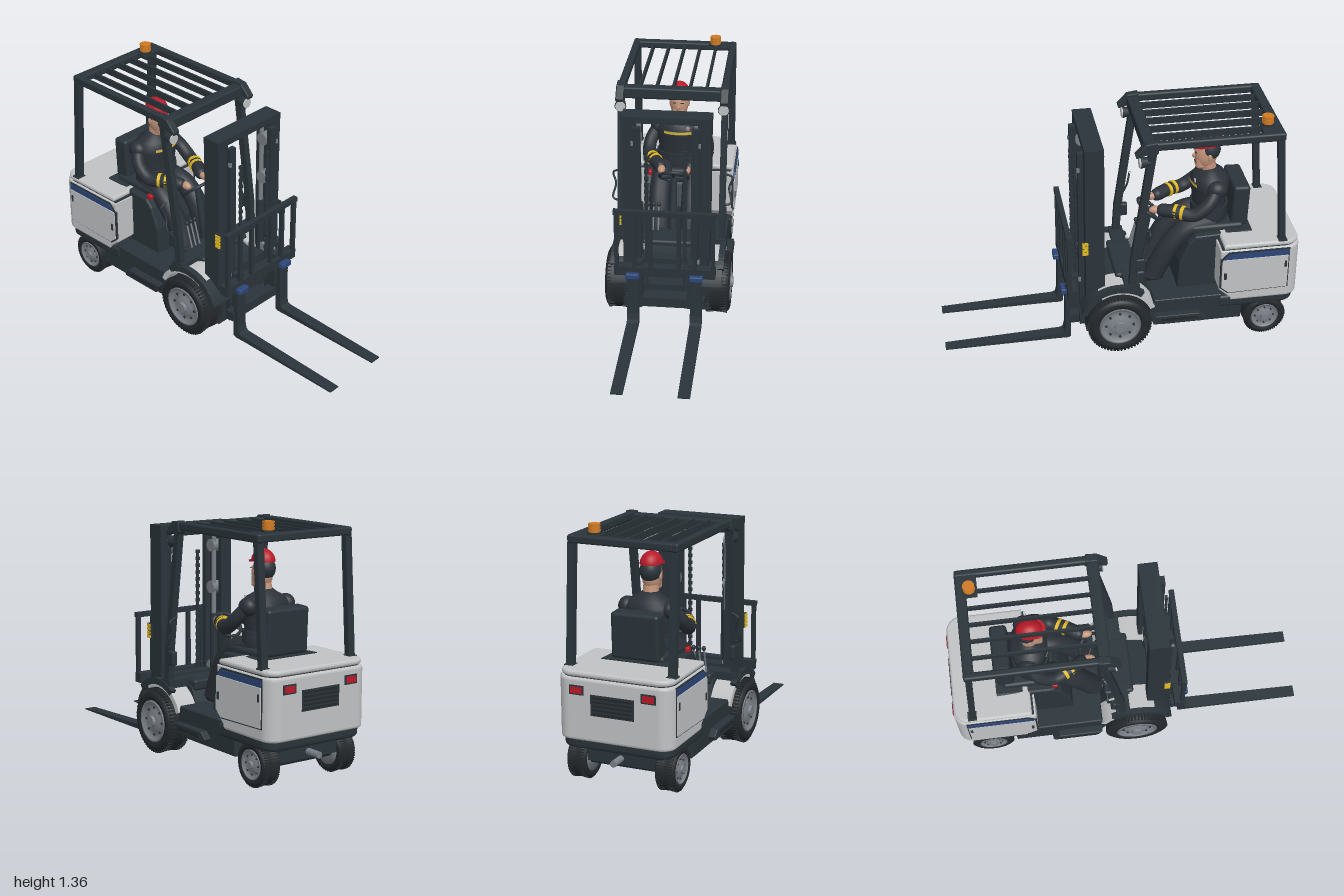
import * as THREE from 'three';
import { RoundedBoxGeometry } from 'three/addons/geometries/RoundedBoxGeometry.js';

const material = (name, color) => Object.assign(new THREE.MeshStandardMaterial({ color }), { name });
const dark = material('charcoal frame', 0x2a343a), light = material('light grey paint', 0xc0c2c4);
const rubber = material('tyre rubber', 0x23282c), steel = material('steel grey', 0x7a8087);
const blue = material('blue trim', 0x2c4578), red = material('red', 0xb81a28);
const orange = material('orange beacon', 0xd07a22), yellow = material('warning yellow', 0xdfb821);
const skin = material('skin', 0xc2937a), cloth = material('overalls', 0x2b3138);

export function createModel() {
  const root = new THREE.Group();
  root.name = 'forkliftWithDriver';
  const V = (p) => new THREE.Vector3(...p);
  const add = (name, geo, mat, pos = [0, 0, 0], parent = root) => {
    const m = new THREE.Mesh(geo, mat);
    m.name = name;
    m.position.set(...pos);
    parent.add(m);
    return m;
  };
  // Box given by its limits, optionally rounded
  const box = (name, mat, x0, x1, y0, y1, z0, z1, r = 0) => {
    const d = [x1 - x0, y1 - y0, z1 - z0];
    const geo = r ? new RoundedBoxGeometry(...d, 3, r) : new THREE.BoxGeometry(...d);
    return add(name, geo, mat, [(x0 + x1) / 2, (y0 + y1) / 2, (z0 + z1) / 2]);
  };
  const extrude = (shape, thickness, bevel) => new THREE.ExtrudeGeometry(shape, {
    depth: thickness - 2 * bevel, bevelEnabled: bevel > 0, bevelSize: bevel, bevelThickness: bevel,
    bevelOffset: -bevel, bevelSegments: 3, curveSegments: 12,
  });
  // Side profile extruded across the vehicle
  const profile = (name, mat, pts, z0, z1, bevel = 0) =>
    add(name, extrude(new THREE.Shape(pts.map((p) => new THREE.Vector2(...p))), z1 - z0, bevel), mat, [0, 0, z0 + bevel]);
  // Slab with rounded rear corners in plan
  const rearSlab = (name, mat, x0, x1, y0, y1, hz, r, bevel) => {
    const s = new THREE.Shape();
    s.moveTo(x1, -hz).lineTo(x1, hz).lineTo(x0 + r, hz);
    s.absarc(x0 + r, hz - r, r, Math.PI / 2, Math.PI).absarc(x0 + r, r - hz, r, Math.PI, Math.PI * 1.5);
    return add(name, extrude(s, y1 - y0, bevel).rotateX(Math.PI / 2), mat, [0, y1 - bevel, 0]);
  };
  // Round or square rod between two points
  const rod = (name, mat, a, b, r, r2 = r, square = false) => {
    const d = V(b).sub(V(a)), len = d.length();
    const geo = square ? new THREE.BoxGeometry(r, len, r2) : new THREE.CylinderGeometry(r2, r, len, 16);
    const m = add(name, geo, mat, V(a).add(V(b)).multiplyScalar(0.5).toArray());
    m.quaternion.setFromUnitVectors(new THREE.Vector3(0, 1, 0), d.normalize());
    return m;
  };
  const tube = (name, mat, pts, r) =>
    add(name, new THREE.TubeGeometry(new THREE.CatmullRomCurve3(pts.map(V)), 24, r, 12), mat);
  const ball = (name, mat, pos, sx, sy, sz, ...arc) => {
    const m = add(name, new THREE.SphereGeometry(1, 24, 16, ...arc), mat, pos);
    m.scale.set(sx, sy, sz);
    return m;
  };
  const arch = (r0, r1, a0, a1) => {
    const pts = [], n = 14;
    for (let i = 0; i <= 2 * n + 1; i++) {
      const t = i <= n ? i / n : (2 * n + 1 - i) / n, r = i <= n ? r1 : r0, a = a0 + (a1 - a0) * t;
      pts.push([0.03 + r * Math.cos(a), 0.18 + r * Math.sin(a)]);
    }
    return pts;
  };

  // Wheel with fine tread, dished rim, hub and bolts
  const wheel = (name, x, R, z, w, side) => {
    const g = new THREE.Group();
    g.name = name;
    g.position.set(x, R, z * side);
    g.rotation.x = side * Math.PI / 2;
    root.add(g);
    const lathe = (pts) => new THREE.LatheGeometry(pts.map((p) => new THREE.Vector2(...p)), 40);
    const h = w / 2, k = R * 0.65;
    const half = [[R - 0.005, 0.35], [R * 0.96, 0.68], [R * 0.91, 0.9], [R * 0.82, 1], [R * 0.74, 0.98], [k, 0.9]];
    add('tyre', lathe([...half.map(([r, t]) => [r, -t * h]).reverse(), ...half.map(([r, t]) => [r, t * h])]), rubber, [0, 0, 0], g);
    add('rim', lathe([[0, -h * 0.7], [k, -h * 0.9], [k, h * 0.95], [k * 0.9, h * 0.98], [k * 0.82, h * 0.72],
      [k * 0.5, h * 0.75], [k * 0.42, h * 0.95], [0, h * 0.95]]), steel, [0, 0, 0], g);
    add('hub', new THREE.CylinderGeometry(k * 0.26, k * 0.3, h * 0.35, 16), steel, [0, h * 0.98, 0], g);
    for (let i = 0; i < 8; i++) {
      const a = i * Math.PI / 4;
      add('bolt', new THREE.CylinderGeometry(R * 0.04, R * 0.04, 0.012, 8), dark,
        [Math.cos(a) * k * 0.66, h * 0.75, Math.sin(a) * k * 0.66], g);
    }
    for (let i = 0; i < 112; i++) {
      const a = i * Math.PI / 56, s = i % 2 ? 1 : -1;
      const t = add('tread', new THREE.BoxGeometry(0.014, h * 0.75, R * 0.06), rubber,
        [Math.cos(a) * (R - 0.01), s * h * 0.42, Math.sin(a) * (R - 0.01)], g);
      t.rotation.set(0, -a, -s * 0.12);
    }
  };

  // Chassis, sill and rear counterweight
  profile('chassis', dark, [[-0.9, 0.13], [0.12, 0.13], [0.12, 0.36], [-0.03, 0.41], [-0.12, 0.38],
    [-0.16, 0.3], [-0.9, 0.3]], -0.19, 0.19);
  profile('sill', dark, [[-0.67, 0.13], [-0.17, 0.13], [-0.14, 0.2], [-0.17, 0.3], [-0.55, 0.3], [-0.67, 0.23]], -0.3, 0.3, 0.008);
  rearSlab('rearSkirt', dark, -0.975, -0.54, 0.215, 0.29, 0.31, 0.08, 0.02);
  rearSlab('counterweight', light, -0.99, -0.6, 0.265, 0.598, 0.32, 0.075, 0.015);
  profile('bodyShell', light, [[-0.9, 0.28], [-0.6, 0.28], [-0.535, 0.34], [-0.535, 0.598], [-0.9, 0.598]], -0.318, 0.318, 0.01);
  rearSlab('hoodGap', dark, -0.975, -0.545, 0.59, 0.604, 0.308, 0.075, 0);
  rearSlab('hood', light, -0.985, -0.555, 0.601, 0.632, 0.316, 0.08, 0.014);
  profile('seatPedestal', dark, [[-0.56, 0.29], [-0.32, 0.29], [-0.33, 0.46], [-0.38, 0.58], [-0.42, 0.625],
    [-0.74, 0.638], [-0.74, 0.6], [-0.56, 0.58]], -0.19, 0.19, 0.012);
  box('grille', dark, -0.996, -0.985, 0.41, 0.52, -0.12, 0.12);
  for (let i = 0; i < 5; i++) box('grilleSlat', rubber, -1, -0.994, 0.417 + i * 0.021, 0.427 + i * 0.021, -0.11, 0.11);
  rod('towHitch', steel, [-0.99, 0.165, 0], [-0.9, 0.165, 0], 0.018);
  rod('frontAxle', dark, [0.03, 0.18, -0.25], [0.03, 0.18, 0.25], 0.05);
  rod('rearAxle', dark, [-0.81, 0.122, -0.23], [-0.81, 0.122, 0.23], 0.035);

  for (const s of [1, -1]) {
    // Mirrored box and profile: z limits measured outward from the centre line
    const sbox = (name, mat, x0, x1, y0, y1, z0, z1, r) =>
      box(name, mat, x0, x1, y0, y1, Math.min(s * z0, s * z1), Math.max(s * z0, s * z1), r);
    const sprofile = (name, mat, pts, z0, z1, b) =>
      profile(name, mat, pts, Math.min(s * z0, s * z1), Math.max(s * z0, s * z1), b);

    wheel('frontWheel', 0.03, 0.18, 0.278, 0.15, s);
    wheel('rearWheel', -0.81, 0.122, 0.25, 0.11, s);
    // Body side panels, lamps and steps
    sprofile('panelFrame', dark, [[-0.925, 0.33], [-0.58, 0.32], [-0.535, 0.36], [-0.535, 0.545], [-0.58, 0.59], [-0.925, 0.59]], 0.31, 0.323);
    sprofile('sidePanel', light, [[-0.918, 0.337], [-0.585, 0.328], [-0.543, 0.364], [-0.543, 0.53], [-0.548, 0.544], [-0.918, 0.544]], 0.315, 0.329);
    sprofile('blueStripe', blue, [[-0.92, 0.547], [-0.552, 0.547], [-0.582, 0.58], [-0.92, 0.58]], 0.315, 0.328);
    sbox('panelLatch', dark, -0.57, -0.555, 0.42, 0.46, 0.325, 0.333);
    sbox('panelHinge', dark, -0.91, -0.898, 0.47, 0.51, 0.325, 0.333);
    sbox('tailLampFrame', dark, -0.994, -0.985, 0.51, 0.56, 0.16, 0.24);
    sbox('tailLamp', red, -0.998, -0.99, 0.518, 0.552, 0.168, 0.232);
    sprofile('step', dark, [[-0.45, 0.16], [-0.2, 0.16], [-0.17, 0.215], [-0.42, 0.215], [-0.46, 0.18]], 0.28, 0.34, 0.006);
    sprofile('stepTread', rubber, [[-0.42, 0.18], [-0.21, 0.18], [-0.2, 0.2], [-0.4, 0.2]], 0.335, 0.343);
    // Front mudguards
    sprofile('mudguard', light, arch(0.19, 0.22, 1.05, 2.75), 0.14, 0.31);
    sprofile('mudguardNose', dark, arch(0.19, 0.22, 0.35, 1.05), 0.14, 0.31);
    sprofile('mudguardLip', dark, arch(0.205, 0.24, 0.8, 2.2), 0.285, 0.318);
    sbox('postFoot', dark, -0.085, -0.005, 0.38, 0.425, 0.14, 0.31);
    // Overhead guard posts and rails
    rod('frontPost', dark, [-0.15, 1.25, s * 0.288], [-0.055, 0.57, s * 0.288], 0.042, 0.035, true);
    rod('frontPostLower', dark, [-0.057, 0.59, s * 0.288], [-0.045, 0.39, s * 0.288], 0.042, 0.035, true);
    rod('rearPost', dark, [-0.84, 1.26, s * 0.285], [-0.885, 0.6, s * 0.285], 0.035, 0.04, true);
    sbox('rearPostFoot', dark, -0.91, -0.86, 0.6, 0.635, 0.26, 0.312);
    sbox('roofRail', dark, -0.865, -0.13, 1.255, 1.302, 0.265, 0.305, 0.012);
    sprofile('roofNose', dark, [[-0.18, 1.25], [-0.17, 1.308], [-0.11, 1.3], [-0.055, 1.24], [-0.06, 1.222], [-0.12, 1.24], [-0.15, 1.21]], 0.265, 0.31, 0.006);
    sbox('postBlock', dark, -0.115, -0.06, 0.51, 0.59, 0.275, 0.31, 0.01);
    tube('grabHandle', dark, [[-0.08, 0.61, s * 0.3], [-0.09, 0.62, s * 0.335], [-0.12, 0.7, s * 0.322], [-0.135, 0.76, s * 0.338], [-0.13, 0.78, s * 0.3]], 0.006);
    rod('headlightBody', dark, [-0.14, 1.187, s * 0.285], [-0.085, 1.187, s * 0.285], 0.022, 0.033);
    rod('headlightLens', light, [-0.086, 1.187, s * 0.285], [-0.077, 1.187, s * 0.285], 0.028);
    // Mast channels, rollers, lift cylinders and chains
    sbox('outerMast', dark, 0.1, 0.205, 0.09, 1.25, 0.2, 0.24);
    sbox('outerMastFrontFlange', dark, 0.18, 0.205, 0.09, 1.25, 0.168, 0.21);
    sbox('outerMastRearFlange', dark, 0.1, 0.125, 0.09, 1.25, 0.168, 0.21);
    sbox('innerMast', dark, 0.205, 0.235, 0.1, 1.2, 0.137, 0.18);
    rod('liftCylinder', dark, [0.15, 0.15, s * 0.155], [0.15, 0.72, s * 0.155], 0.022);
    rod('liftRam', steel, [0.15, 0.7, s * 0.155], [0.15, 1.2, s * 0.155], 0.013);
    for (const y of [0.41, 0.87, 1.11]) rod('mastRoller', steel, [0.165, y, s * 0.14], [0.165, y, s * 0.198], 0.036);
    for (const y of [0.41, 1.11]) sbox('rollerPin', steel, 0.225, 0.24, y - 0.012, y + 0.012, 0.175, 0.187);
    sbox('warningPlate', dark, 0.19, 0.222, 0.61, 0.695, 0.24, 0.25);
    for (let i = 0; i < 4; i++) sbox('warningStripe', yellow, 0.192, 0.224, 0.612 + i * 0.021, 0.628 + i * 0.021, 0.246, 0.255);
    for (let i = 0; i < 42; i++) {
      const w = i % 2 ? 0.0115 : 0.008;
      sbox('chainLink', dark, 0.24 - w / 2, 0.24 + w / 2, 0.24 + i * 0.02, 0.26 + i * 0.02, 0.105 - w, 0.105 + w);
    }
    sbox('carriagePlate', dark, 0.235, 0.292, 0.14, 0.42, 0.125, 0.165);
    // Load backrest bars and forks
    for (const z of [0.078, 0.168, 0.265]) sbox('backrestBar', dark, 0.288, 0.31, 0.36, 0.73, z - 0.011, z + 0.011);
    sprofile('fork', dark, [[0.29, 0.37], [0.29, 0.045], [0.305, 0.035], [0.4, 0.036], [1, 0.03], [1, 0.037],
      [0.5, 0.06], [0.35, 0.066], [0.33, 0.075], [0.322, 0.11], [0.318, 0.37]], 0.143, 0.208);
    sbox('forkHook', blue, 0.285, 0.342, 0.335, 0.37, 0.138, 0.213, 0.008);
    // Driver limbs
    const arm = [[-0.545, 0.88, s * 0.125], [-0.49, 0.81, s * 0.165], [-0.41, 0.755, s * 0.165], [-0.32, 0.76, s * 0.125], [-0.25, 0.755, s * 0.085]];
    tube('sleeve', cloth, arm, 0.038);
    ball('shoulder', cloth, arm[0], 0.056, 0.05, 0.047);
    ball('cuff', cloth, arm[4], 0.036, 0.036, 0.036);
    ball('hand', skin, [-0.21, 0.755, s * 0.073], 0.036, 0.022, 0.022);
    for (const t of [0, 0.035]) rod('sleeveBand', yellow, [-0.36 + t, 0.76, s * (0.145 - t * 0.6)], [-0.345 + t, 0.76, s * (0.136 - t * 0.6)], 0.041);
    const leg = [[-0.54, 0.66, s * 0.075], [-0.4, 0.635, s * 0.09], [-0.3, 0.54, s * 0.095], [-0.24, 0.43, s * 0.09], [-0.2, 0.34, s * 0.085]];
    tube('trouserLeg', cloth, leg, 0.06);
    ball('trouserHem', cloth, leg[4], 0.06, 0.03, 0.06);
    sbox('boot', rubber, -0.25, -0.12, 0.3, 0.35, 0.055, 0.115, 0.02);
    ball('ear', skin, [-0.515, 1.045, s * 0.052], 0.013, 0.023, 0.008);
    sbox('eyebrow', dark, -0.446, -0.438, 1.066, 1.07, 0.014, 0.032);
  }

  // Roof cross members, slats and beacon
  box('roofFrontBar', dark, -0.17, -0.105, 1.225, 1.29, -0.28, 0.28, 0.01);
  box('roofRearBar', dark, -0.865, -0.81, 1.258, 1.3, -0.28, 0.28, 0.01);
  for (let i = -2; i <= 2; i++) box('roofSlat', dark, -0.83, -0.14, 1.255, 1.292, i * 0.092 - 0.006, i * 0.092 + 0.006);
  box('beaconPlate', dark, -0.84, -0.75, 1.288, 1.3, -0.28, -0.145);
  rod('beaconBase', dark, [-0.79, 1.295, -0.185], [-0.79, 1.31, -0.185], 0.036);
  rod('beacon', orange, [-0.79, 1.31, -0.185], [-0.79, 1.355, -0.185], 0.029);
  for (const y of [1.318, 1.334, 1.35]) rod('beaconRib', orange, [-0.79, y - 0.004, -0.185], [-0.79, y + 0.004, -0.185], 0.032);

  // Mast and carriage cross members
  box('mastTopBeam', dark, 0.1, 0.205, 1.215, 1.252, -0.242, 0.242);
  box('innerMastBeam', dark, 0.13, 0.2, 0.34, 0.4, -0.18, 0.18);
  box('mastLowerBeam', dark, 0.1, 0.2, 0.2, 0.235, -0.27, 0.27);
  box('mastFoot', dark, 0.11, 0.2, 0.115, 0.15, -0.21, 0.21);
  box('carriageLowerBar', dark, 0.245, 0.295, 0.145, 0.2, -0.22, 0.22);
  box('carriageUpperBar', dark, 0.255, 0.31, 0.345, 0.4, -0.28, 0.28);
  box('backrestTopBar', dark, 0.285, 0.314, 0.718, 0.745, -0.28, 0.28);

  // Seat and controls
  box('seatCushion', dark, -0.7, -0.4, 0.61, 0.665, -0.15, 0.15, 0.02);
  const back = box('seatBack', dark, -0.73, -0.635, 0.64, 0.888, -0.135, 0.135, 0.018);
  back.rotation.z = 0.04;
  box('beltBuckle', red, -0.43, -0.395, 0.62, 0.65, 0.15, 0.175, 0.008);
  rod('steeringColumn', dark, [-0.12, 0.36, 0], [-0.19, 0.715, 0], 0.028, 0.018);
  const steering = add('steeringWheel', new THREE.TorusGeometry(0.082, 0.009, 10, 36), dark, [-0.19, 0.72, 0]);
  steering.quaternion.setFromUnitVectors(new THREE.Vector3(0, 0, 1), new THREE.Vector3(-0.65, 0.76, 0));
  for (const [dx, dy, dz] of [[0.06, 0.052, 0], [-0.03, -0.026, 0.07], [-0.03, -0.026, -0.07]])
    rod('steeringSpoke', dark, [-0.19, 0.718, 0], [-0.19 + dx, 0.72 + dy, dz], 0.008);
  box('instrumentPod', dark, -0.14, 0.03, 0.36, 0.42, -0.18, 0.18, 0.015);
  for (const z of [0.08, 0.11, 0.14]) {
    rod('lever', steel, [-0.1, 0.42, z], [-0.14, 0.56, z], 0.005);
    ball('leverKnob', dark, [-0.14, 0.565, z], 0.012, 0.014, 0.012);
  }

  // Driver torso, head and cap
  const torso = [[0, 0.62], [0.12, 0.62], [0.132, 0.67], [0.13, 0.73], [0.118, 0.76], [0.136, 0.86], [0.134, 0.895], [0.11, 0.925], [0.065, 0.948], [0.045, 0.965], [0, 0.965]];
  add('jacket', new THREE.LatheGeometry(torso.map((p) => new THREE.Vector2(...p)), 32), cloth, [-0.53, 0, 0]).scale.x = 0.78;
  rod('waistband', dark, [-0.53, 0.735, 0], [-0.53, 0.75, 0], 0.132).scale.x = 0.79;
  for (const [mat, r, h] of [[steel, 0.139, 0.02], [yellow, 0.141, 0.013]])
    add('chestStripe', new THREE.CylinderGeometry(r, r, h, 24, 1, true, Math.PI / 2 - 0.62, 1.24), mat, [-0.53, 0.885, 0]).scale.x = 0.79;
  box('badgePatch', light, -0.437, -0.43, 0.904, 0.922, -0.066, -0.05);
  box('badge', red, -0.434, -0.428, 0.908, 0.918, -0.062, -0.054);
  rod('neck', skin, [-0.525, 0.94, 0], [-0.51, 1.02, 0], 0.042);
  ball('head', skin, [-0.503, 1.045, 0], 0.064, 0.088, 0.052);
  box('jaw', skin, -0.53, -0.445, 0.965, 1.035, -0.036, 0.036, 0.018);
  ball('nose', skin, [-0.44, 1.04, 0], 0.014, 0.016, 0.009);
  box('mouth', dark, -0.447, -0.44, 1.004, 1.008, -0.014, 0.014);
  ball('hair', dark, [-0.523, 1.072, 0], 0.062, 0.064, 0.057);
  ball('cap', red, [-0.511, 1.108, 0], 0.072, 0.066, 0.059, 0, Math.PI * 2, 0, Math.PI / 2);
  const brim = rod('capBrim', red, [-0.478, 1.105, 0], [-0.478, 1.113, 0], 0.057);
  brim.rotation.z = -0.08;
  ball('capButton', red, [-0.511, 1.173, 0], 0.008, 0.006, 0.008);
  return root;
}
